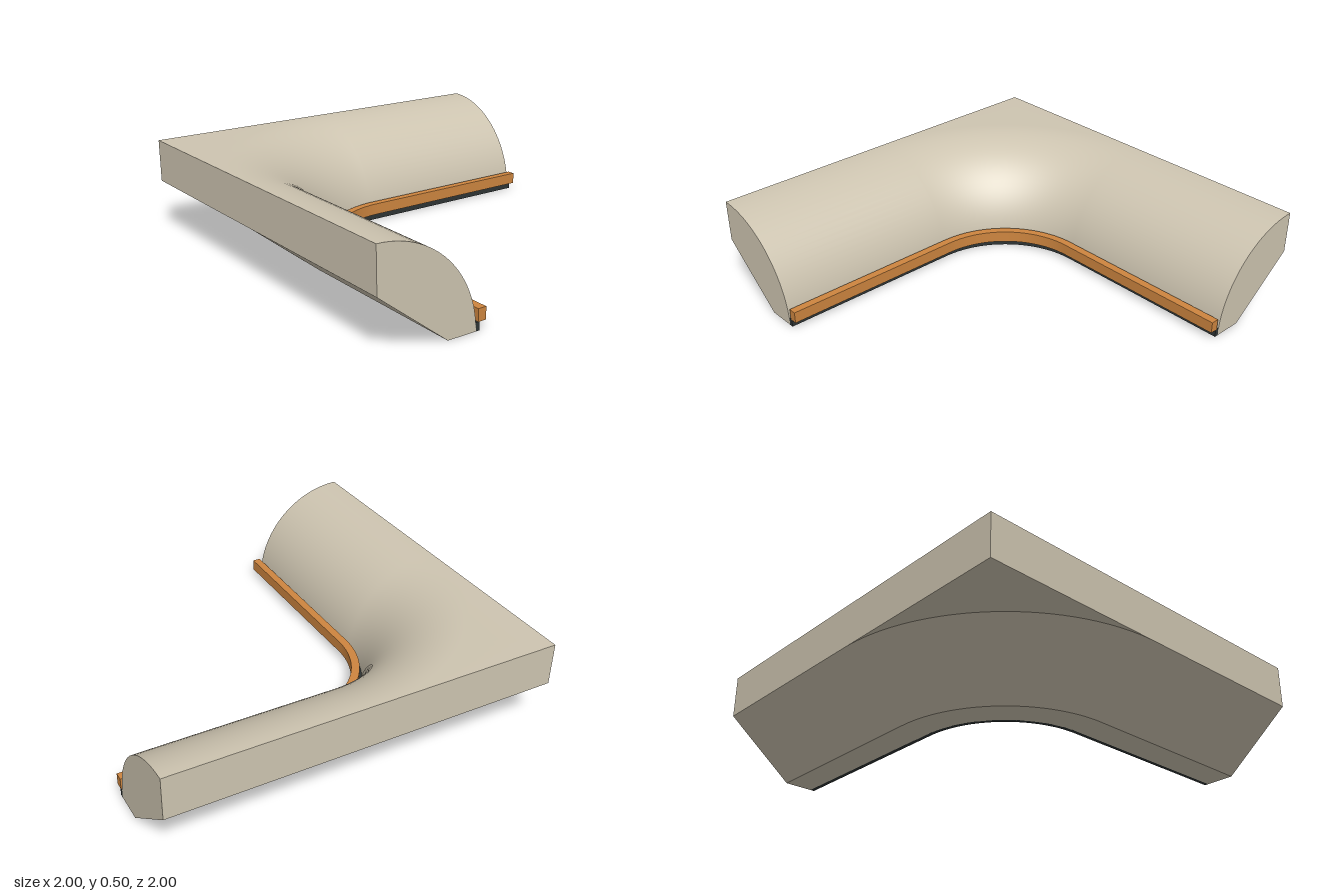
import * as THREE from 'three';
import { toCreasedNormals } from 'three/addons/utils/BufferGeometryUtils.js';

const BEND = 32; // segments around the quarter bend

// Path stations: a straight leg, a quarter bend about the origin, a second straight leg.
function makeStations() {
  const list = [{ x: 1, z: 0, a: 0 }];
  for (let i = 0; i <= BEND; i++) list.push({ x: 0, z: 0, a: (i / BEND) * Math.PI / 2 });
  list.push({ x: 0, z: -1, a: Math.PI / 2 });
  return list;
}

// Sweeps a convex profile of { r, y } along the path; "square" points follow a mitred corner.
function sweep(profile) {
  const rings = makeStations().map(({ x, z, a }) => {
    const s = Math.sin(a), c = Math.cos(a);
    return profile.map(({ r, y, square }) => {
      const d = square ? r / Math.max(s, c) : r;
      return new THREE.Vector3(x - d * s, y, z + d * c);
    });
  });
  const pos = [];
  const tri = (a, b, c) => {
    const area = b.clone().sub(a).cross(c.clone().sub(a)).length();
    if (area > 1e-9) pos.push(...a, ...b, ...c);
  };
  const n = profile.length, last = rings.length - 1;
  for (let s = 0; s < last; s++) {
    for (let i = 0; i < n; i++) {
      const j = (i + 1) % n, A = rings[s], B = rings[s + 1];
      tri(A[i], B[i], A[j]);
      tri(A[j], B[i], B[j]);
    }
  }
  for (let i = 1; i < n - 1; i++) {
    tri(rings[0][0], rings[0][i], rings[0][i + 1]);
    tri(rings[last][0], rings[last][i + 1], rings[last][i]);
  }
  const geo = new THREE.BufferGeometry();
  geo.setAttribute('position', new THREE.Float32BufferAttribute(pos, 3));
  return toCreasedNormals(geo, Math.PI / 7);
}

// Rectangular strip profile
const strip = (r0, r1, y0, y1) => [
  { r: r0, y: y0 }, { r: r0, y: y1 }, { r: r1, y: y1 }, { r: r1, y: y0 },
];

export function createModel() {
  const group = new THREE.Group();
  const add = (name, profile, color) => {
    const mesh = new THREE.Mesh(sweep(profile), new THREE.MeshStandardMaterial({ color }));
    mesh.name = name;
    group.add(mesh);
  };

  // Body: quarter-round face, flat outer wall with a square corner, sloped underside
  const body = [];
  for (let i = 0; i <= 24; i++) {
    const t = (i / 24) * Math.PI / 2;
    body.push({ r: 1 - 0.5 * Math.cos(t), y: 0.5 * Math.sin(t) });
  }
  body.push(
    { r: 1, y: 0.5, square: true }, { r: 1, y: 0.28, square: true },
    { r: 1, y: 0.28 }, { r: 0.65, y: 0 },
  );
  add('roundedBody', body, 0xcdc4b0);

  // Trim along the inner foot of the body
  add('darkBaseStrip', strip(0.48, 0.502, 0, 0.04), 0x2e3434);
  add('orangeTrimRail', strip(0.445, 0.488, 0.04, 0.1), 0xcd853f);
  return group;
}
